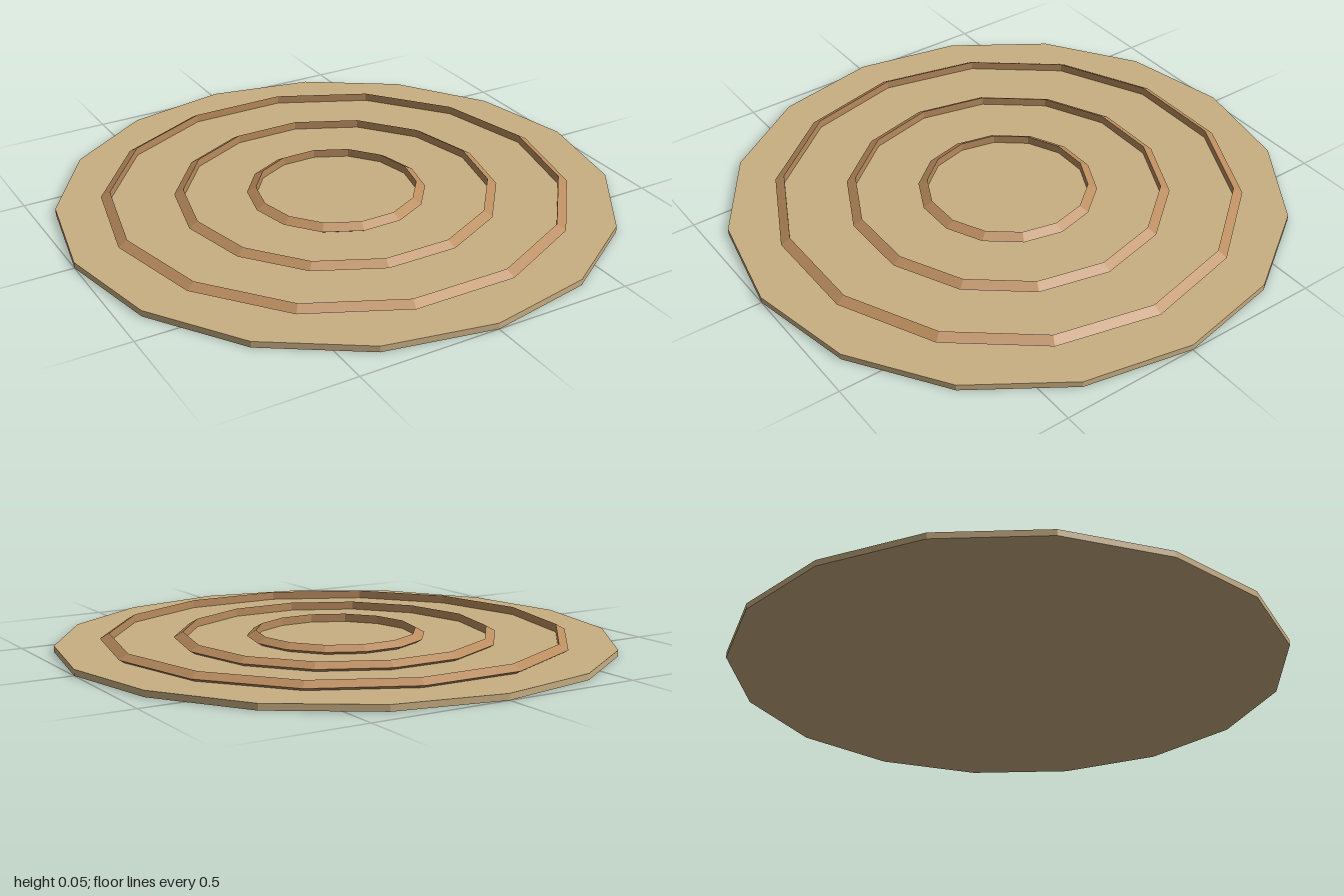
import * as THREE from 'three';

export function createModel() {
  const group = new THREE.Group();
  group.name = 'ringedDisc';

  const sand = new THREE.MeshStandardMaterial({ color: 0xc8ae82, flatShading: true });
  sand.name = 'sand';
  const ridgeBrown = new THREE.MeshStandardMaterial({ color: 0xb98c5e, flatShading: true });
  ridgeBrown.name = 'ridgeBrown';

  // Flat sixteen-sided base
  const height = 0.022;
  const base = new THREE.Mesh(new THREE.CylinderGeometry(1, 1, height, 16), sand);
  base.name = 'baseDisc';
  base.position.y = height / 2;
  group.add(base);

  // Concentric ridges with a triangular section, partly sunk into the base
  const names = ['innerRidge', 'middleRidge', 'outerRidge'];
  names.forEach((name, i) => {
    const geometry = new THREE.TorusGeometry(0.3 + i * 0.26, 0.022, 3, 14);
    geometry.rotateX(-Math.PI / 2);
    const ridge = new THREE.Mesh(geometry, ridgeBrown);
    ridge.name = name;
    ridge.position.y = 0.033;
    group.add(ridge);
  });

  return group;
}
